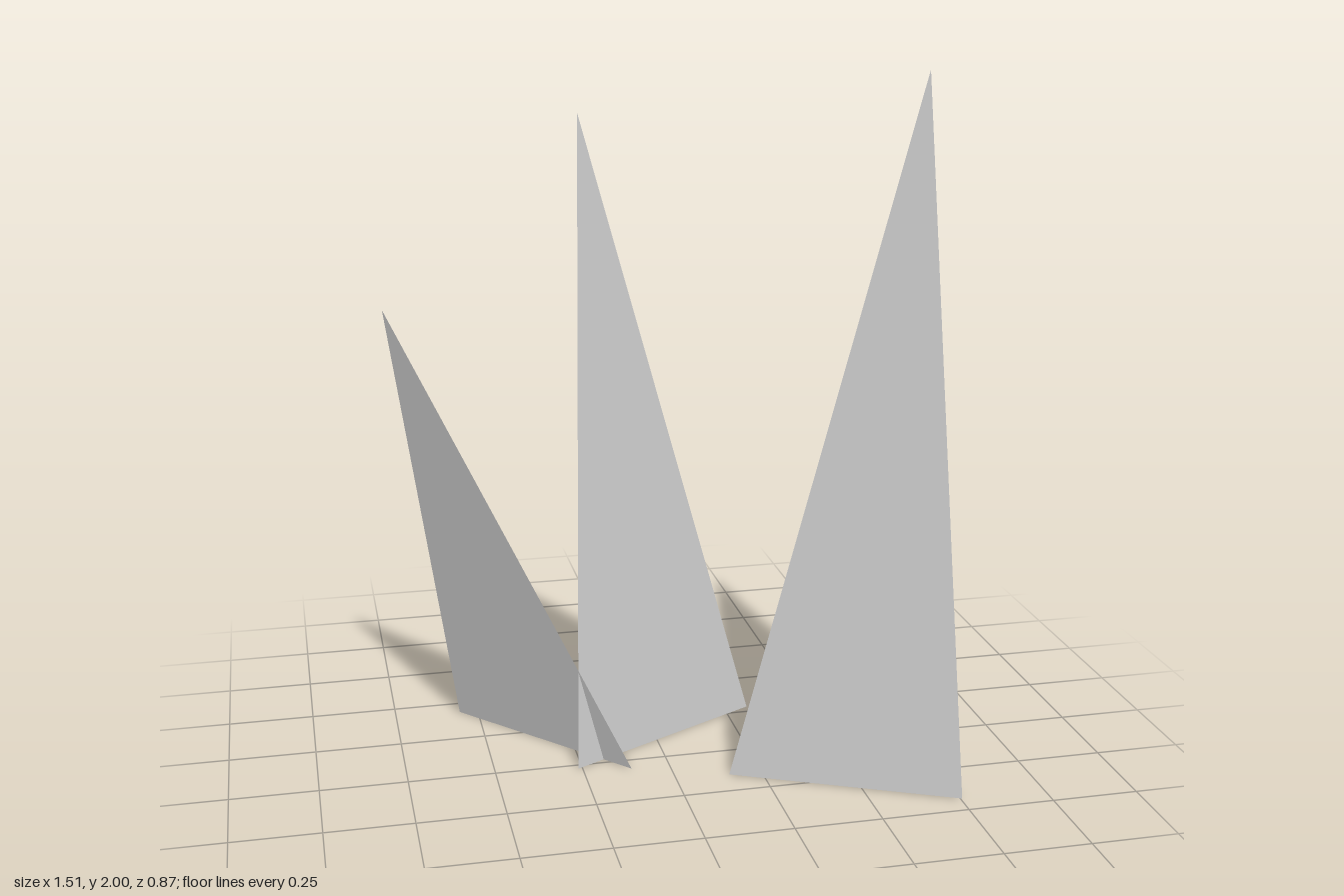
import * as THREE from 'three';

const grey = new THREE.MeshStandardMaterial({ color: 0xcccccc, flatShading: true, side: THREE.DoubleSide });
grey.name = 'light grey';

// Open three-sided spike: a tip joined to a triangle of ground corners [x, z],
// listed counter-clockwise as seen from above
function spike(name, tip, corners) {
  const points = [];
  corners.forEach(([x, z], i) => {
    const [nx, nz] = corners[(i + 1) % 3];
    points.push(x, 0, z, nx, 0, nz, ...tip);
  });
  const geometry = new THREE.BufferGeometry();
  geometry.setAttribute('position', new THREE.Float32BufferAttribute(points, 3));
  geometry.computeVertexNormals();
  const mesh = new THREE.Mesh(geometry, grey);
  mesh.name = name;
  return mesh;
}

export function createModel() {
  const group = new THREE.Group();
  group.name = 'spikes';
  group.add(
    // tall blade, front left
    spike('tallBlade', [0.63, 2, 0.295], [[0.155, 0.152], [0.755, 0.435], [0.555, 0.085]]),
    // upright blade in the middle
    spike('middleBlade', [-0.215, 1.865, -0.13], [[-0.262, 0.023], [0.322, -0.285], [-0.08, -0.335]]),
    // short blade leaning outwards
    spike('leaningBlade', [-0.755, 1.333, -0.192], [[-0.555, -0.437], [-0.112, 0.055], [-0.16, -0.347]])
  );
  return group;
}
